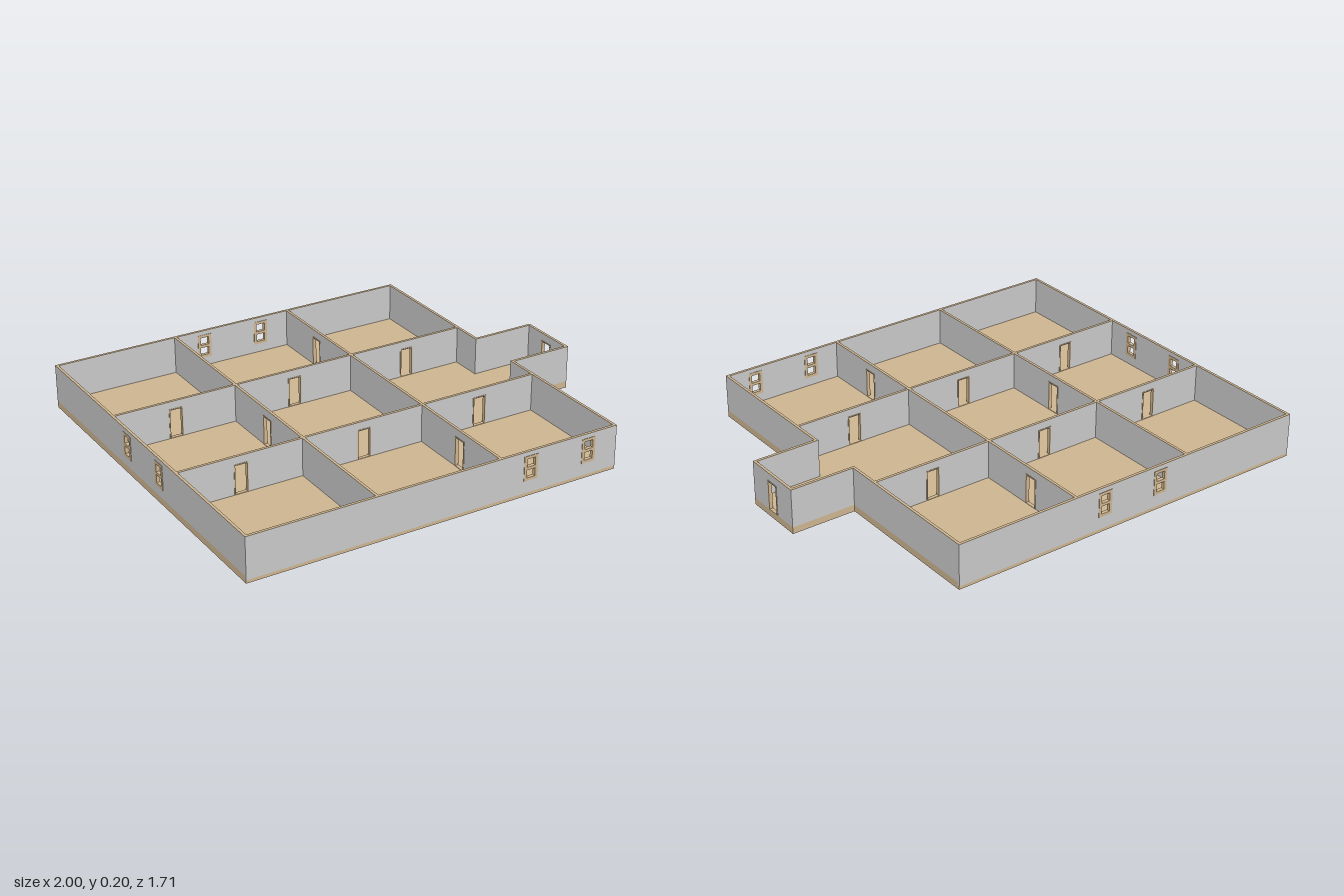
import * as THREE from 'three';

const FLOOR = 0.03, TOP = 0.2, THICK = 0.012, CAP = 0.002;

const wallGrey = new THREE.MeshStandardMaterial({ color: 0xc8c8c8 });
wallGrey.name = 'wallGrey';
const tan = new THREE.MeshStandardMaterial({ color: 0xcdb48f });
tan.name = 'tan';

function rect(target, x0, y0, x1, y1) {
  target.moveTo(x0, y0);
  target.lineTo(x1, y0);
  target.lineTo(x1, y1);
  target.lineTo(x0, y1);
  target.closePath();
  return target;
}

// Upright slab in local x/y with rectangular holes, centred on z = 0
function panel(name, outer, holes, depth, material) {
  const shape = rect(new THREE.Shape(), ...outer);
  holes.forEach((h) => shape.holes.push(rect(new THREE.Path(), ...h)));
  const geo = new THREE.ExtrudeGeometry(shape, { depth, bevelEnabled: false });
  geo.translate(0, 0, -depth / 2);
  const mesh = new THREE.Mesh(geo, material);
  mesh.name = name;
  return mesh;
}

// Opening outlines; c is the centre along the wall
const doorHole = (c) => [c - 0.032, FLOOR + 0.001, c + 0.032, 0.165];
const windowHole = (c) => [c - 0.033, 0.07, c + 0.033, 0.18];

function doorFrame(c) {
  const [x0, y0, x1, y1] = doorHole(c), b = 0.005;
  return panel('doorFrame', [x0, y0, x1, y1], [[x0 + b, y0 + 0.002, x1 - b, y1 - b]], THICK + 0.004, tan);
}

function windowFrame(c) {
  const [x0, y0, x1, y1] = windowHole(c), b = 0.013, mid = (y0 + y1) / 2;
  const panes = [
    [x0 + b, y0 + b, x1 - b, mid - b / 2],
    [x0 + b, mid + b / 2, x1 - b, y1 - b],
  ];
  return panel('windowFrame', [x0, y0, x1, y1], panes, THICK + 0.004, tan);
}

// Wall running along x or z at a fixed offset, with doors, windows and a capping strip
function wall(name, axis, offset, from, to, { doors = [], windows = [], base = FLOOR } = {}) {
  const group = new THREE.Group();
  group.name = name;
  const holes = [...doors.map(doorHole), ...windows.map(windowHole)];
  group.add(panel('wallPanel', [from, base, to, TOP - CAP], holes, THICK, wallGrey));
  group.add(panel('wallCap', [from, TOP - CAP, to, TOP], [], THICK, tan));
  doors.forEach((c) => group.add(doorFrame(c)));
  windows.forEach((c) => group.add(windowFrame(c)));
  if (axis === 'z') {
    group.rotation.y = -Math.PI / 2;
    group.position.x = offset;
  } else {
    group.position.z = offset;
  }
  return group;
}

export function createModel() {
  const model = new THREE.Group();
  model.name = 'floorPlan';
  const h = THICK / 2;
  const L = -1, R = 0.71, Z = 0.853, PX = 1, PZ = 0.143;

  // Floor slab with the entrance bay on the left side
  const plan = new THREE.Shape([
    [L, -Z], [R, -Z], [R, -PZ], [PX, -PZ], [PX, PZ], [R, PZ], [R, Z], [L, Z],
  ].map(([x, y]) => new THREE.Vector2(x, y)));
  const slabGeo = new THREE.ExtrudeGeometry(plan, { depth: FLOOR, bevelEnabled: false });
  slabGeo.rotateX(-Math.PI / 2);
  const slab = new THREE.Mesh(slabGeo, tan);
  slab.name = 'floorSlab';
  model.add(slab);

  // Outer walls; front and back hang a little over the slab edge
  const lap = 0.001;
  model.add(
    wall('frontWall', 'x', Z - h + lap, L, R, { windows: [0.285, 0.57], base: 0.015 }),
    wall('backWall', 'x', -Z + h - lap, L, R, { windows: [-0.285, 0], base: 0.015 }),
    wall('rightWall', 'z', L + h, -Z, Z, { windows: [-0.143, 0.143] }),
  );

  // Left wall halves and the sides of the entrance bay
  for (const s of [-1, 1]) {
    const ends = [s * PZ, s * Z].sort((a, b) => a - b);
    model.add(wall('leftWall', 'z', R - h, ends[0], ends[1]));
    model.add(wall('entranceSideWall', 'x', s * (PZ - h), R - THICK, PX));
  }
  model.add(wall('entranceWall', 'z', PX - h, -PZ, PZ, { doors: [0] }));

  // Partitions dividing the plan into nine rooms
  for (const z of [-0.284, 0.284]) {
    model.add(wall('crossPartition', 'x', z, L + THICK, R - h, { doors: [-0.712, -0.143, 0.427] }));
  }
  model.add(
    wall('rightPartition', 'z', -0.427, -Z + h, Z - h, { doors: [0] }),
    wall('leftPartition', 'z', 0.143, -Z + h, Z - h, { doors: [-0.57, 0.57] }),
  );
  return model;
}
